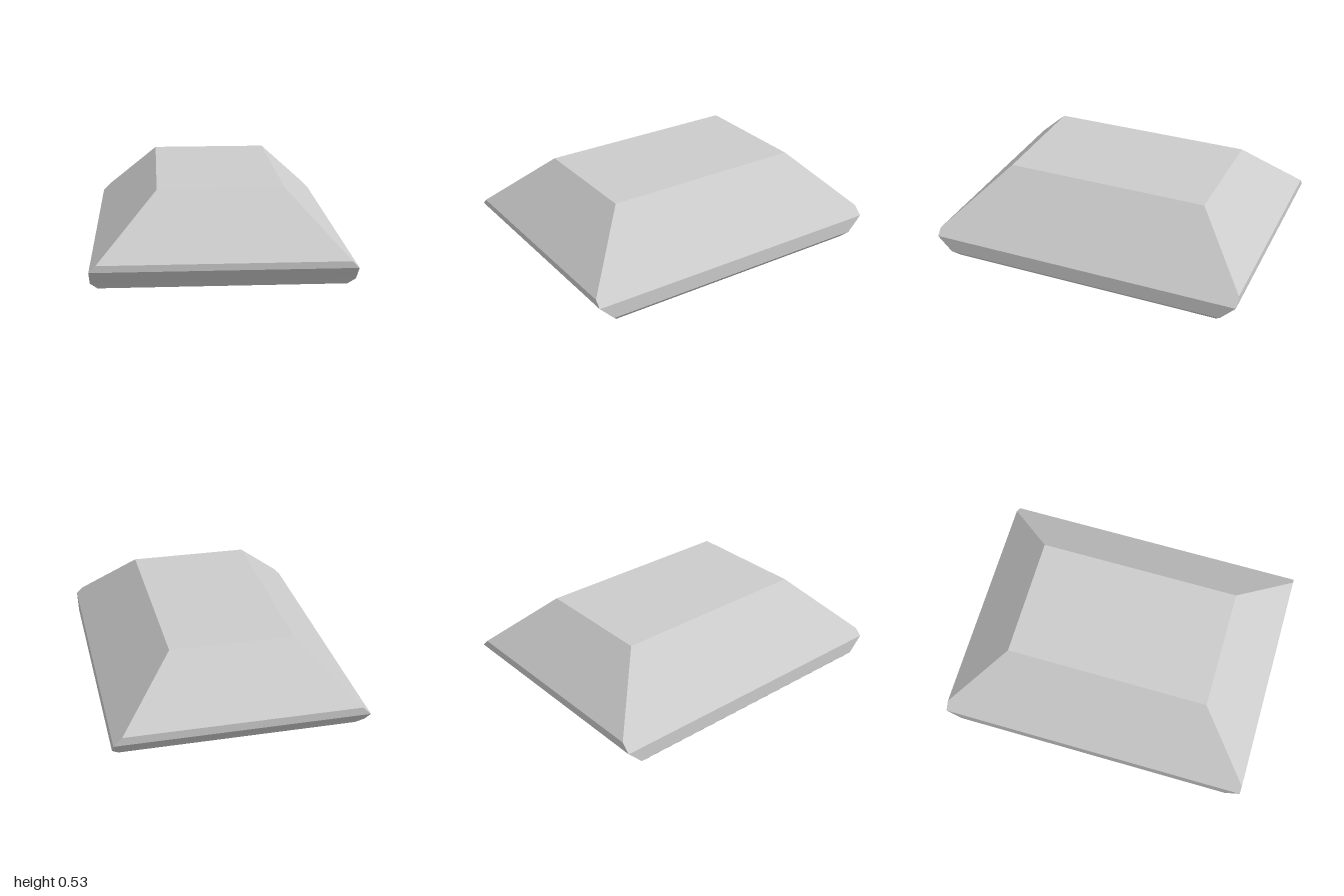
import * as THREE from 'three';

// Rectangular ring, counter-clockwise from above; front and back edges are [halfWidth, y, z]
const ring = (front, back) => [
  [front[0], front[1], front[2]],
  [back[0], back[1], back[2]],
  [-back[0], back[1], back[2]],
  [-front[0], front[1], front[2]],
];

export function createModel() {
  // Cross-sections from the base up to the flat top
  const rings = [
    ring([0.738, 0, 0.87], [0.738, 0, -0.87]),
    ring([0.78, 0.043, 0.907], [0.78, 0.043, -0.907]),
    ring([0.78, 0.138, 1], [0.78, 0.138, -1]),
    ring([0.739, 0.179, 1], [0.727, 0.191, -1]),
    ring([0.384, 0.534, 0.645], [0.384, 0.534, -0.657]),
  ];

  const positions = [];
  const quad = (a, b, c, d) => positions.push(...a, ...b, ...c, ...a, ...c, ...d);

  // Bevelled sides between neighbouring rings
  for (let r = 0; r < rings.length - 1; r++) {
    for (let i = 0; i < 4; i++) {
      const j = (i + 1) % 4;
      quad(rings[r][i], rings[r][j], rings[r + 1][j], rings[r + 1][i]);
    }
  }
  // Flat top and underside
  quad(...rings[rings.length - 1]);
  quad(...[...rings[0]].reverse());

  const geometry = new THREE.BufferGeometry();
  geometry.setAttribute('position', new THREE.Float32BufferAttribute(positions, 3));
  geometry.computeVertexNormals();

  const block = new THREE.Mesh(
    geometry,
    new THREE.MeshStandardMaterial({ color: 0xcccccc, flatShading: true }),
  );
  block.name = 'bevelledBlock';

  const model = new THREE.Group();
  model.name = 'model';
  model.add(block);
  return model;
}
